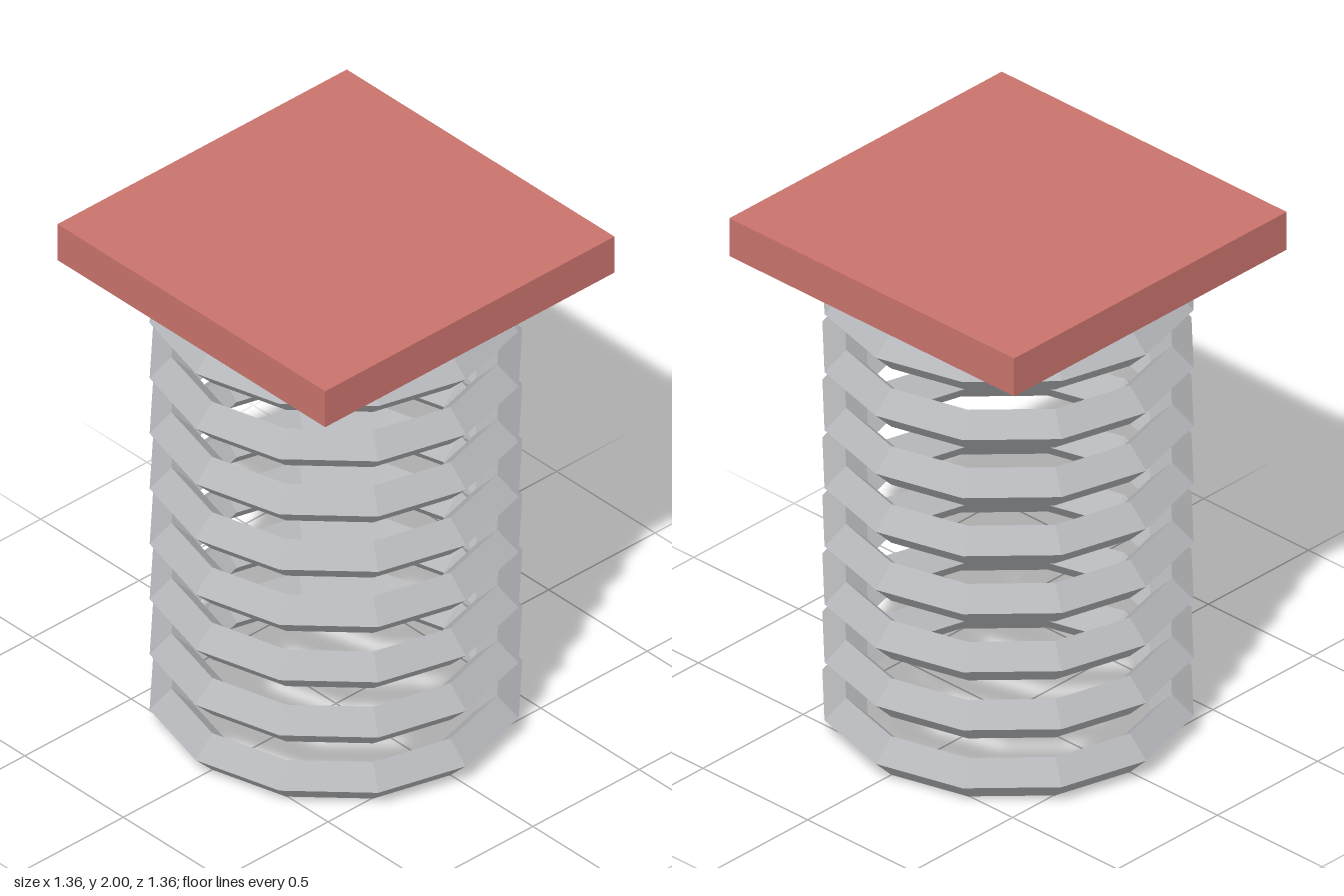
import * as THREE from 'three';

export function createModel() {
  const model = new THREE.Group();
  model.name = 'springPlatform';

  const red = new THREE.MeshStandardMaterial({ color: 0xc8726c, flatShading: true });
  red.name = 'platform red';
  const grey = new THREE.MeshStandardMaterial({ color: 0xb4b6b9, flatShading: true });
  grey.name = 'coil grey';

  // Square platform on top
  const size = 1.36, thickness = 0.152;
  const platform = new THREE.Mesh(new THREE.BoxGeometry(size, thickness, size), red);
  platform.name = 'platform';
  platform.position.y = 2 - thickness / 2;
  model.add(platform);

  // Stack of separate twelve-sided rings with a diamond cross-section
  const tube = 0.0775, radius = 0.582, rings = 8, pitch = 0.2335;
  const ringGeometry = new THREE.TorusGeometry(radius, tube, 4, 12).rotateX(-Math.PI / 2);
  const coil = new THREE.Group();
  coil.name = 'springCoil';
  for (let i = 0; i < rings; i++) {
    const ring = new THREE.Mesh(ringGeometry, grey);
    ring.name = `coilRing${i + 1}`;
    ring.position.y = tube + i * pitch;
    coil.add(ring);
  }
  model.add(coil);

  return model;
}
